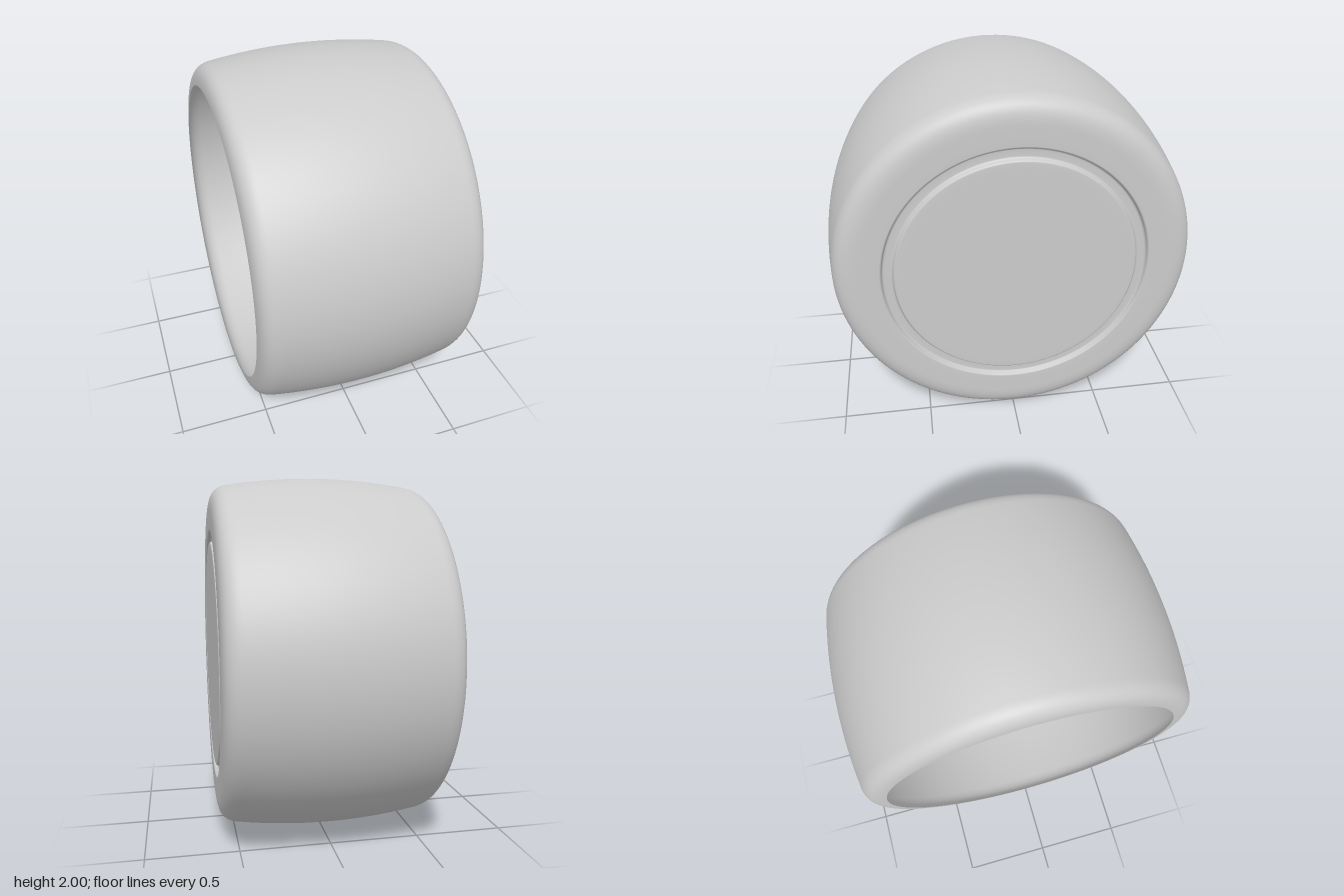
import * as THREE from 'three';

const material = new THREE.MeshStandardMaterial({ color: 0xcccccc, side: THREE.DoubleSide });
const HALF = 0.6; // half width along the axle

// Turn a profile of (radius, axial position) points around the x axis
function turned(name, points) {
  const geometry = new THREE.LatheGeometry(points, 128);
  geometry.rotateZ(-Math.PI / 2);
  const mesh = new THREE.Mesh(geometry, material);
  mesh.name = name;
  mesh.position.y = 1;
  return mesh;
}

export function createModel() {
  const group = new THREE.Group();
  group.name = 'wheel';
  const v = (r, x) => new THREE.Vector2(r, x);

  // Rounded shoulder running from the tread to the flat side wall
  const shoulder = new THREE.CubicBezierCurve(
    v(0.96, 0.5), v(0.949, 0.57), v(0.91, HALF), v(0.82, HALF)
  ).getPoints(16);

  // Tyre shell: open rim, shoulder, crowned tread, shoulder, side wall
  const openSide = shoulder.filter(p => p.x >= 0.835).map(p => v(p.x, -p.y)).reverse();
  const tread = [];
  for (let i = -11; i <= 11; i++) {
    const x = i / 24;
    tread.push(v(1 - 0.16 * x * x, x));
  }
  group.add(turned('tyreShell', [...openSide, ...tread, ...shoulder, v(0.76, HALF)]));

  // Closed end: side wall, shallow ring groove with softened edges, flat disc
  const groove = [
    [0.76, 0], [0.716, 0], [0.71, 0.002], [0.706, 0.007], [0.703, 0.018],
    [0.699, 0.024], [0.692, 0.026], [0.658, 0.026], [0.651, 0.024],
    [0.647, 0.018], [0.644, 0.007], [0.64, 0.002], [0.634, 0], [0.6, 0], [0, 0]
  ];
  group.add(turned('hubCap', groove.map(([r, depth]) => v(r, HALF - depth))));

  return group;
}
